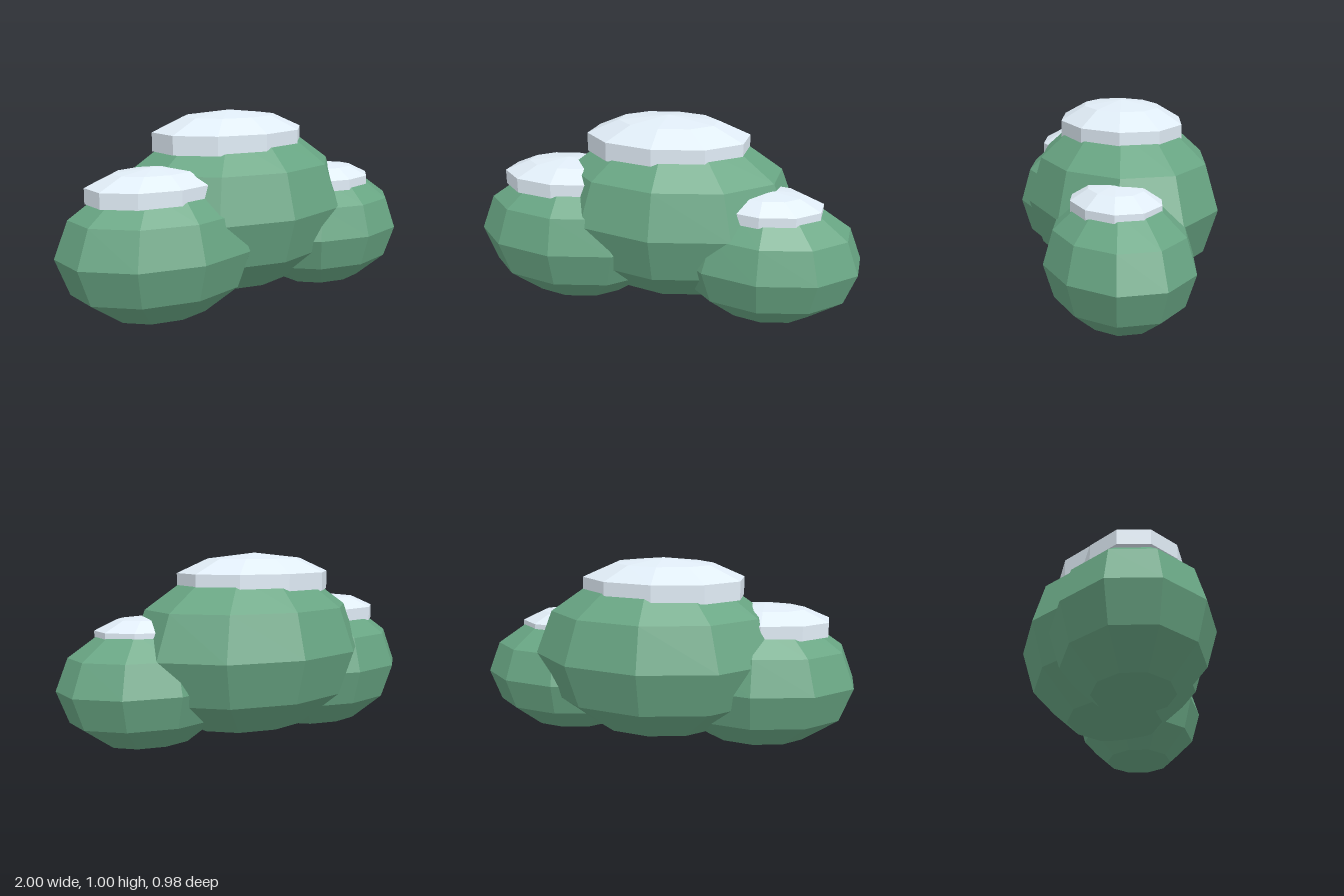
import * as THREE from 'three';

const SIDES = 10;
const leafMaterial = new THREE.MeshStandardMaterial({ color: 0x68a583, flatShading: true });
const snowMaterial = new THREE.MeshStandardMaterial({ color: 0xe0ecf6, flatShading: true });

// Faceted ellipsoid of leaves with a corner facing the front
function leafBall(name, center, radii) {
  const geometry = new THREE.SphereGeometry(1, SIDES, 6);
  geometry.rotateY(Math.PI / 2);
  geometry.scale(...radii);
  const mesh = new THREE.Mesh(geometry, leafMaterial);
  mesh.position.set(...center);
  mesh.name = name;
  return mesh;
}

// Closed snow cap: flat base, straight rim, shallow dome
function snowCap(name, x, z, rx, rz, base, rim, shoulder, top) {
  const profile = [
    [0, base], [1, base], [1, rim], [0.61, shoulder], [0, top],
  ].map(([r, y]) => new THREE.Vector2(r, y));
  const geometry = new THREE.LatheGeometry(profile, SIDES);
  geometry.scale(rx, 1, rz);
  const mesh = new THREE.Mesh(geometry, snowMaterial);
  mesh.position.set(x, 0, z);
  mesh.name = name;
  return mesh;
}

export function createModel() {
  const bush = new THREE.Group();
  bush.name = 'snowyBush';
  bush.add(
    leafBall('middleLeaves', [0.025, 0.5, 0], [0.655, 0.45, 0.49]),
    leafBall('rightLeaves', [-0.5, 0.363, 0.095], [0.526, 0.36, 0.39]),
    leafBall('leftLeaves', [0.55, 0.338, 0.13], [0.473, 0.325, 0.358]),
    snowCap('middleSnow', -0.01, 0, 0.43, 0.312, 0.81, 0.905, 0.977, 1.005),
    snowCap('rightSnow', -0.53, 0.1, 0.347, 0.245, 0.615, 0.69, 0.747, 0.768),
    snowCap('leftSnow', 0.53, 0.141, 0.289, 0.214, 0.57, 0.628, 0.68, 0.697),
  );
  return bush;
}
